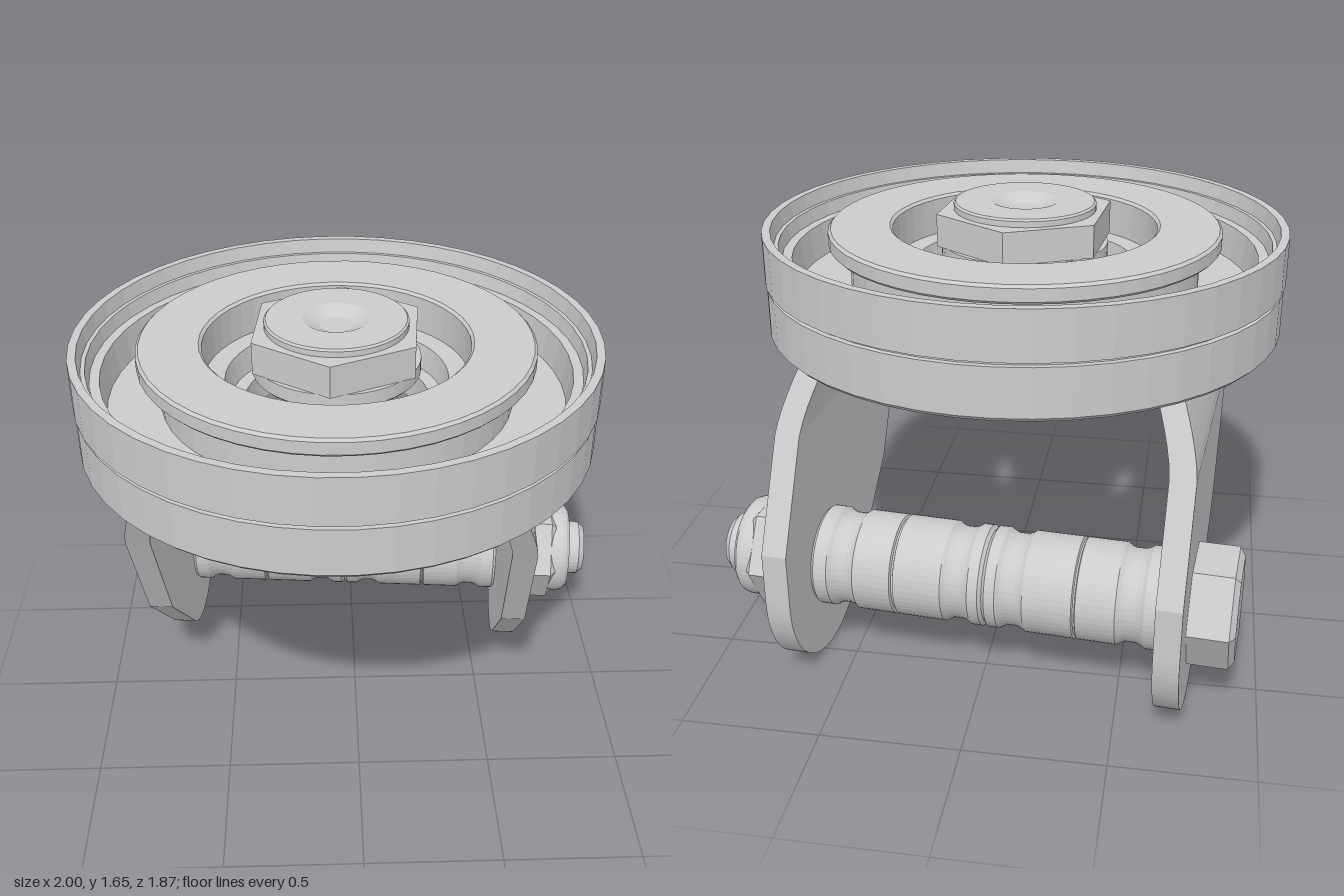
import * as THREE from 'three';

const material = new THREE.MeshStandardMaterial({ color: 0xcccccc, flatShading: true });

function addMesh(parent, name, geometry) {
  const mesh = new THREE.Mesh(geometry, material);
  mesh.name = name;
  parent.add(mesh);
  return mesh;
}

// Turned part from [radius, height] pairs, listed bottom to top on the outside
function turned(parent, name, profile, sides = 48) {
  const points = profile.map(([r, y]) => new THREE.Vector2(r, y));
  return addMesh(parent, name, new THREE.LatheGeometry(points, sides));
}

const AXLE_Y = 0.375, AXLE_Z = -0.475;
const PLATE_X = 0.685, PLATE_T = 0.09;
const BEND_Y = 0.95, TOP_Y = 1.23;

// Flat lower part of a fork leg, with a round end about the axle
function legGeometry(side) {
  const shape = new THREE.Shape();
  shape.moveTo(0.41, BEND_Y);
  shape.lineTo(0.17, 0.48);
  shape.absarc(AXLE_Z, AXLE_Y, 0.375, -0.82, -Math.PI, true);
  shape.lineTo(-0.85, 0.57);
  shape.lineTo(-0.663, BEND_Y);
  shape.closePath();
  const geometry = new THREE.ExtrudeGeometry(shape, { depth: PLATE_T, bevelEnabled: false, curveSegments: 20 });
  geometry.rotateY(-Math.PI / 2);
  return geometry.translate(side * PLATE_X + PLATE_T / 2, 0, 0);
}

// Upper part of a leg, curving inward to the bearing
function bendGeometry(side) {
  const geometry = new THREE.BoxGeometry(PLATE_T, 1, 1, 1, 6, 1);
  const p = geometry.attributes.position;
  for (let i = 0; i < p.count; i++) {
    const t = p.getY(i) + 0.5;
    const z = p.getZ(i) > 0 ? THREE.MathUtils.lerp(0.41, 0.555, t) : THREE.MathUtils.lerp(-0.663, -0.525, t);
    p.setXYZ(i, p.getX(i) + side * (PLATE_X - 0.085 * t ** 1.4), THREE.MathUtils.lerp(BEND_Y, TOP_Y, t), z);
  }
  geometry.computeVertexNormals();
  return geometry;
}

// Ribbed sleeve: rounded grooves and thin seams, mirrored about the middle
function sleeveProfile() {
  const half = [[0.172, 0], [0.185, 0.012]];
  const groove = (c) => {
    for (const [dx, d] of [[-0.05, 0], [-0.035, 0.01], [-0.018, 0.016], [0.018, 0.016], [0.035, 0.01], [0.05, 0]])
      half.push([0.185 - d, c + dx]);
  };
  groove(0.1);
  half.push([0.185, 0.326], [0.174, 0.33], [0.174, 0.336], [0.185, 0.34]);
  groove(0.53);
  half.push([0.185, 0.63], [0.175, 0.642]);
  return [...half.slice(1).reverse().map(([r, x]) => [r, -x]), ...half];
}

export function createModel() {
  const model = new THREE.Group();
  model.name = 'swivelCasterFork';

  const caster = new THREE.Group();
  caster.name = 'caster';
  caster.position.x = -0.065;
  caster.rotation.y = -0.087;
  model.add(caster);

  // Bearing housing: two cups with a slot, a trough and a raised inner ring
  turned(caster, 'bearingHousing', [
    [0.335, 1.235], [0.4, 1.235], [0.42, 1.21], [0.915, 1.21], [0.93, 1.225],
    [0.93, 1.395], [0.91, 1.395], [0.91, 1.41], [0.935, 1.41], [0.935, 1.583],
    [0.905, 1.583], [0.895, 1.53], [0.88, 1.53], [0.87, 1.48], [0.835, 1.48],
    [0.82, 1.36], [0.63, 1.36], [0.63, 1.51], [0.695, 1.51], [0.705, 1.52],
    [0.705, 1.565], [0.695, 1.575], [0.485, 1.575], [0.475, 1.565],
    [0.475, 1.43], [0.4, 1.43], [0.385, 1.34], [0.335, 1.34], [0.335, 1.235],
  ]);

  // King bolt: hex nut on top, shank, hex head below
  const kingBolt = new THREE.Group();
  kingBolt.name = 'kingBolt';
  caster.add(kingBolt);
  turned(kingBolt, 'topNut', [[0, 1.51], [0.325, 1.51], [0.325, 1.627], [0, 1.627]], 6);
  turned(kingBolt, 'topNutFace', [
    [0.255, 1.62], [0.255, 1.648], [0.248, 1.655], [0.12, 1.655], [0, 1.6],
  ]);
  turned(kingBolt, 'washer', [[0, 1.45], [0.29, 1.45], [0.3, 1.46], [0.3, 1.51], [0, 1.51]]);
  turned(kingBolt, 'shank', [[0.22, 1.18], [0.22, 1.47]]);
  turned(kingBolt, 'bottomHead', [
    [0, 1.05], [0.265, 1.05], [0.292, 1.075], [0.292, 1.18], [0.28, 1.2], [0, 1.2],
  ], 6);

  // Fork legs
  for (const side of [1, -1]) {
    const leg = new THREE.Group();
    leg.name = side > 0 ? 'leftLeg' : 'rightLeg';
    caster.add(leg);
    addMesh(leg, 'legPlate', legGeometry(side));
    addMesh(leg, 'legBend', bendGeometry(side));
  }

  // Axle assembly, turned upright and laid along x
  const axle = new THREE.Group();
  axle.name = 'axle';
  axle.position.set(0, AXLE_Y, AXLE_Z);
  axle.rotation.z = -Math.PI / 2;
  caster.add(axle);
  turned(axle, 'sleeve', sleeveProfile());
  turned(axle, 'boltHead', [
    [0, -0.895], [0.185, -0.895], [0.216, -0.875], [0.216, -0.72], [0, -0.72],
  ], 6);
  turned(axle, 'nut', [[0, 0.72], [0.216, 0.72], [0.216, 0.87], [0.19, 0.89], [0, 0.89]], 6);
  turned(axle, 'nutCollar', [
    [0.187, 0.87], [0.187, 0.915], [0.18, 0.935], [0.165, 0.948], [0.135, 0.948], [0.125, 0.93], [0, 0.93],
  ]);
  turned(axle, 'boltEnd', [[0.112, 0.9], [0.112, 0.995], [0.092, 1.018], [0, 1.018]], 32);

  return model;
}
